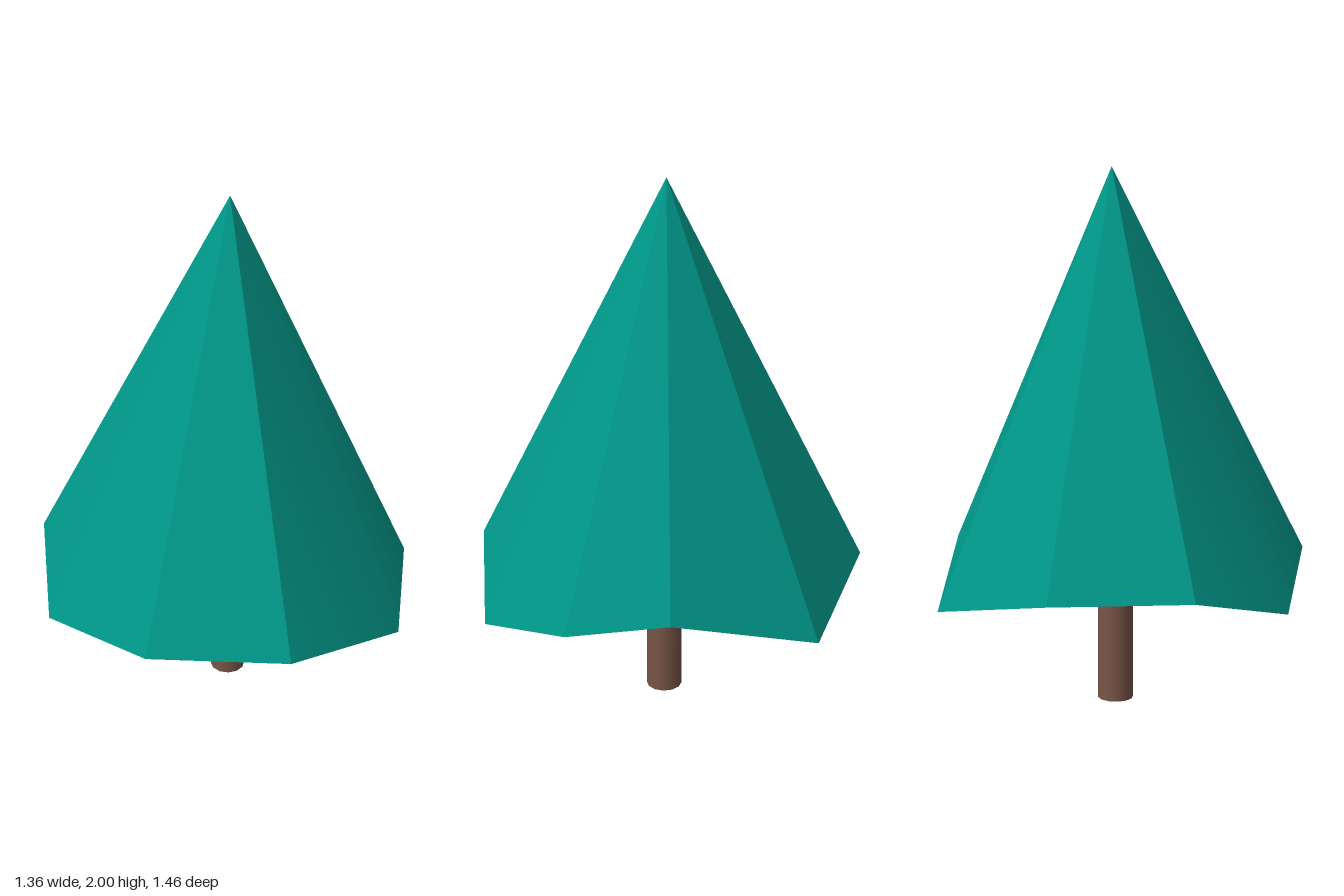
import * as THREE from 'three';
import { toCreasedNormals } from 'three/addons/utils/BufferGeometryUtils.js';

export function createModel() {
  const foliageTeal = new THREE.MeshStandardMaterial({ color: 0x009688, side: THREE.DoubleSide });
  const barkBrown = new THREE.MeshStandardMaterial({ color: 0x795548 });
  const tree = new THREE.Group();
  tree.name = 'tree';

  // Foliage: open irregular cone, apex joined to a ragged rim
  const apex = [0.045, 2, 0.005];
  const rim = [
    [-0.02, 0.545, -0.73], [0.49, 0.43, -0.55], [0.677, 0.585, -0.03],
    [0.64, 0.52, 0.34], [0.375, 0.425, 0.655], [-0.16, 0.55, 0.727],
    [-0.575, 0.55, 0.43], [-0.68, 0.43, -0.11], [-0.48, 0.55, -0.525],
  ];
  const positions = rim.flatMap((p, i) => [...apex, ...rim[(i + 1) % rim.length], ...p]);
  const cone = new THREE.BufferGeometry();
  cone.setAttribute('position', new THREE.Float32BufferAttribute(positions, 3));
  const foliage = new THREE.Mesh(toCreasedNormals(cone, Math.PI / 6), foliageTeal);
  foliage.name = 'foliage';
  tree.add(foliage);

  // Trunk: plain post reaching up inside the foliage
  const height = 0.9;
  const trunk = new THREE.Mesh(new THREE.CylinderGeometry(0.067, 0.067, height, 12), barkBrown);
  trunk.name = 'trunk';
  trunk.position.set(0.035, height / 2, 0.015);
  tree.add(trunk);

  return tree;
}
